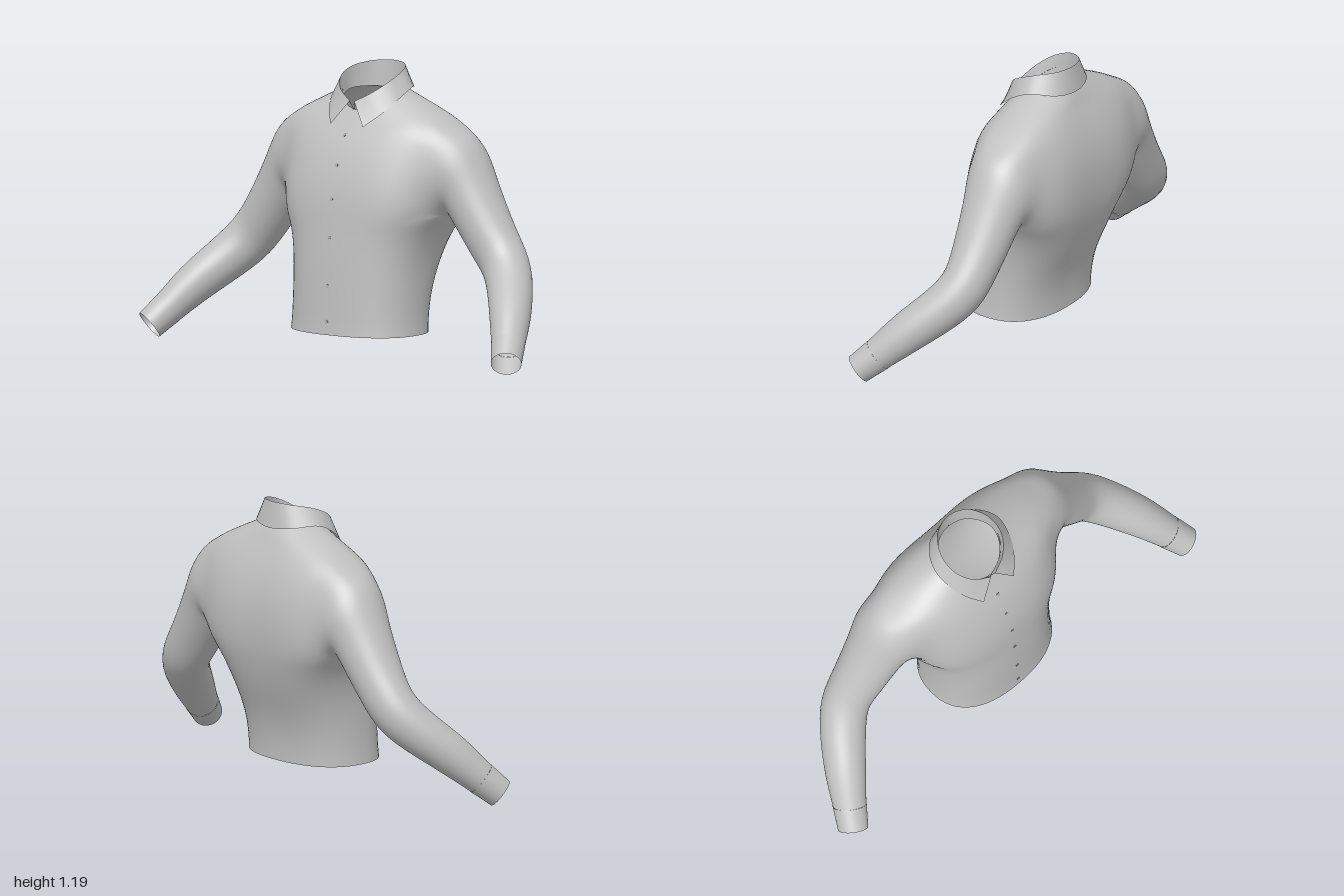
import * as THREE from 'three';

const V3 = (x, y, z) => new THREE.Vector3(x, y, z);
const cloth = new THREE.MeshStandardMaterial({ color: 0xc0c0c0, side: THREE.DoubleSide });
cloth.name = 'cloth';
const buttonGrey = new THREE.MeshStandardMaterial({ color: 0xa6a6a6 });
buttonGrey.name = 'button grey';

// Body levels: side y, front y, back y, half width, side z, front z, back z, roundness, back roundness
const LEVELS = [
  [0.095, 0.095, 0.095, 0.303, 0.04, 0.260, -0.175, 0.85, 0.85],
  [0.25, 0.25, 0.25, 0.299, 0.03, 0.255, -0.192, 0.84, 0.75],
  [0.40, 0.40, 0.40, 0.307, 0.00, 0.248, -0.255, 0.82, 0.65],
  [0.52, 0.52, 0.52, 0.340, -0.04, 0.238, -0.293, 0.80, 0.52],
  [0.60, 0.60, 0.60, 0.388, -0.07, 0.232, -0.310, 0.78, 0.45],
  [0.70, 0.70, 0.70, 0.394, -0.08, 0.220, -0.318, 0.78, 0.42],
  [0.80, 0.80, 0.80, 0.400, -0.08, 0.191, -0.312, 0.80, 0.45],
  [0.89, 0.88, 0.89, 0.405, -0.08, 0.158, -0.291, 0.82, 0.50],
  [0.970, 0.94, 0.97, 0.400, -0.08, 0.123, -0.258, 0.85, 0.60],
  [1.028, 0.98, 1.03, 0.300, -0.08, 0.099, -0.227, 0.90, 0.80],
  [1.076, 1.005, 1.07, 0.195, -0.07, 0.085, -0.207, 0.95, 0.95],
  [1.105, 1.025, 1.10, 0.135, -0.06, 0.073, -0.183, 1.00, 1.00],
];
// Sleeve sections: centre x, y, z, radius up and out, radius forward, tilt in degrees
const SECTIONS = [
  [0.440, 0.753, -0.100, 0.170, 0.150, 72],
  [0.490, 0.670, -0.100, 0.128, 0.130, 52],
  [0.600, 0.500, -0.093, 0.112, 0.109, 50],
  [0.695, 0.380, -0.072, 0.103, 0.101, 42],
  [0.822, 0.235, 0.080, 0.088, 0.090, 38],
  [0.895, 0.122, 0.190, 0.070, 0.070, 36],
  [0.938, 0.056, 0.258, 0.063, 0.062, 36],
];
const STEP = 4, COLS = 64, HALF = 6, LOW = 4 * STEP, HIGH = 8 * STEP, RING = 2 * (HIGH - LOW) + 4 * HALF;

function sectionPoint(k, i, grow = 0) {
  const [x, y, z, a, b, deg] = SECTIONS[k], r = THREE.MathUtils.degToRad(deg);
  const p = SECTIONS[Math.max(k - 1, 0)], q = SECTIONS[Math.min(k + 1, SECTIONS.length - 1)];
  const run = Math.hypot(q[0] - p[0], q[1] - p[1]);
  const u = V3(Math.cos(r), Math.sin(r), 0);
  const v = V3(run * u.y, -run * u.x, q[2] - p[2]).normalize().cross(u), f = (i / RING) * Math.PI * 2;
  return V3(x, y, z).addScaledVector(u, (a + grow) * Math.cos(f)).addScaledVector(v, (b + grow) * Math.sin(f));
}

function quad(index, a, b, c, d, flip) {
  if (flip) index.push(a, c, b, a, d, c);
  else index.push(a, b, c, a, c, d);
}

function toGeometry(points, index) {
  const g = new THREE.BufferGeometry().setFromPoints(points);
  g.setIndex(index);
  g.computeVertexNormals();
  return g;
}

// Surface through rows of points
function loft(rows, closed, flip) {
  const n = rows[0].length, index = [];
  for (let i = 0; i < rows.length - 1; i++)
    for (let j = 0; j < (closed ? n : n - 1); j++) {
      const m = (j + 1) % n;
      quad(index, i * n + j, i * n + m, (i + 1) * n + m, (i + 1) * n + j, flip);
    }
  return toGeometry(rows.flat(), index);
}

// Soften the joins while holding the open edges
function relax(points, index, passes) {
  const near = points.map(() => new Map());
  for (let f = 0; f < index.length; f += 3)
    for (let e = 0; e < 3; e++) {
      const a = index[f + e], b = index[f + (e + 1) % 3];
      near[a].set(b, (near[a].get(b) || 0) + 1);
      near[b].set(a, (near[b].get(a) || 0) + 1);
    }
  const free = near.map(m => m.size > 0 && [...m.values()].every(c => c === 2));
  for (let p = 0; p < passes; p++) {
    const old = points.map(v => v.clone());
    points.forEach((v, i) => {
      if (!free[i]) return;
      const mean = V3(0, 0, 0);
      for (const j of near[i].keys()) mean.add(old[j]);
      v.lerp(mean.divideScalar(near[i].size), 0.5);
    });
  }
}

// Body with armholes, continued seamlessly into both sleeves
function buildShirt() {
  const points = [], index = [], rows = (LEVELS.length - 1) * STEP + 1;
  const spline = (list, t) => {
    const k = Math.min(Math.floor(t), list.length - 2), f = t - k;
    const at = i => list[Math.min(Math.max(i, 0), list.length - 1)];
    return list[0].map((_, c) => {
      const [p, a, b, q] = [at(k - 1)[c], at(k)[c], at(k + 1)[c], at(k + 2)[c]];
      return a + 0.5 * f * (b - p + f * (2 * p - 5 * a + 4 * b - q + f * (3 * (a - b) + q - p)));
    });
  };
  for (let i = 0; i < rows; i++) {
    const [ys, yf, yb, w, zs, zf, zb, p, pb] = spline(LEVELS, i / STEP);
    for (let j = 0; j < COLS; j++) {
      const a = (j / COLS) * Math.PI * 2, s = Math.sin(a), c = Math.cos(a);
      const x = w * Math.sign(s) * Math.abs(s) ** p;
      let z = c > 0 ? zs + (zf - zs) * c ** p : zs + (zb - zs) * (-c) ** pb;
      // Hollow along the spine
      if (c < 0) z += 0.018 * Math.exp(-((x / 0.09) ** 2)) * Math.sin(Math.PI * i / (rows - 1));
      points.push(V3(x, ys + ((c > 0 ? yf : yb) - ys) * c * c, z));
    }
  }
  const at = (i, j) => i * COLS + (j + COLS) % COLS, mid = COLS / 4;
  for (let i = 0; i < rows - 1; i++)
    for (let j = 0; j < COLS; j++) {
      const fromSide = Math.min(Math.abs(j + 0.5 - mid), Math.abs(j + 0.5 - 3 * mid));
      if (i >= LOW && i < HIGH && fromSide < HALF) continue;
      quad(index, at(i, j), at(i, j + 1), at(i + 1, j + 1), at(i + 1, j));
    }
  // Armhole loop runs top, front, bottom, back
  const hole = [];
  for (let j = 0; j <= HALF; j++) hole.push([HIGH, mid - j]);
  for (let i = HIGH - 1; i >= LOW; i--) hole.push([i, mid - HALF]);
  for (let j = 1 - HALF; j <= HALF; j++) hole.push([LOW, mid + j]);
  for (let i = LOW + 1; i <= HIGH; i++) hole.push([i, mid + HALF]);
  for (let j = HALF - 1; j > 0; j--) hole.push([HIGH, mid + j]);
  const last = SECTIONS.length - 2, steps = (last + 1) * 5;
  for (const side of [1, -1]) {
    let prev = hole.map(([i, j]) => at(i, side * j));
    const curves = hole.map(([i, j], n) => {
      const keys = [points[at(i, j)].clone()];
      for (let k = 0; k <= last; k++) keys.push(sectionPoint(k, n));
      return new THREE.CatmullRomCurve3(keys, false, 'catmullrom', 0.5);
    });
    for (let k = 1; k <= steps; k++) {
      const next = curves.map(c => {
        const p = c.getPoint(k / steps);
        p.x *= side;
        return points.push(p) - 1;
      });
      for (let n = 0; n < RING; n++) {
        const m = (n + 1) % RING;
        quad(index, prev[n], prev[m], next[m], next[n], side < 0);
      }
      prev = next;
    }
  }
  relax(points, index, 8);
  const front = [];
  for (let i = 0; i < rows; i++) front.push(points[at(i, 0)]);
  return { geometry: toGeometry(points, index), front };
}

// Mirrored smooth curve from a half outline starting at the back
function mirrored(half) {
  const all = [...half.slice(1).reverse().map(p => V3(-p[0], p[1], p[2])), ...half.map(p => V3(...p))];
  return new THREE.CatmullRomCurve3(all).getPoints(60);
}

export function createModel() {
  const model = new THREE.Group();
  model.name = 'shirt';
  const add = (name, geometry, material = cloth) => {
    const mesh = new THREE.Mesh(geometry, material);
    mesh.name = name;
    model.add(mesh);
    return mesh;
  };
  const { geometry, front } = buildShirt();
  add('bodyAndSleeves', geometry);

  // Cuffs
  const ids = Array.from({ length: RING }, (_, i) => i);
  for (const side of [1, -1]) {
    const rows = [5, 6].map(k => ids.map(i => sectionPoint(k, i, 0.001)).map(p => V3(p.x * side, p.y, p.z)));
    add(side > 0 ? 'leftCuff' : 'rightCuff', loft(rows, true, side < 0));
  }

  // Collar: inner stand and folded fall
  const fold = mirrored([[0, 1.2, -0.187], [0.08, 1.195, -0.16], [0.13, 1.178, -0.08],
    [0.13, 1.145, 0], [0.085, 1.1, 0.062], [0.012, 1.058, 0.094]]);
  const edge = mirrored([[0, 1.09, -0.205], [0.11, 1.1, -0.178], [0.175, 1.108, -0.08],
    [0.172, 1.07, 0], [0.14, 1.015, 0.07], [0.085, 0.96, 0.13]]);
  const base = mirrored([[0, 1.085, -0.183], [0.08, 1.088, -0.155], [0.132, 1.083, -0.07],
    [0.118, 1.06, 0], [0.07, 1.035, 0.05], [0, 1.02, 0.078]]);
  add('collarFall', loft([edge, fold], false));
  add('collarStand', loft([base, fold], false));

  // Front buttons
  for (const y of [0.92, 0.8, 0.66, 0.5, 0.3, 0.15]) {
    const k = front.findIndex(p => p.y > y), a = front[k - 1], b = front[k];
    const z = a.z + (b.z - a.z) * (y - a.y) / (b.y - a.y);
    const button = add('button', new THREE.CylinderGeometry(0.007, 0.007, 0.004, 12), buttonGrey);
    button.position.set(-0.008, y, z);
    button.rotation.x = Math.PI / 2 + Math.atan2(b.z - a.z, b.y - a.y);
  }
  return model;
}
